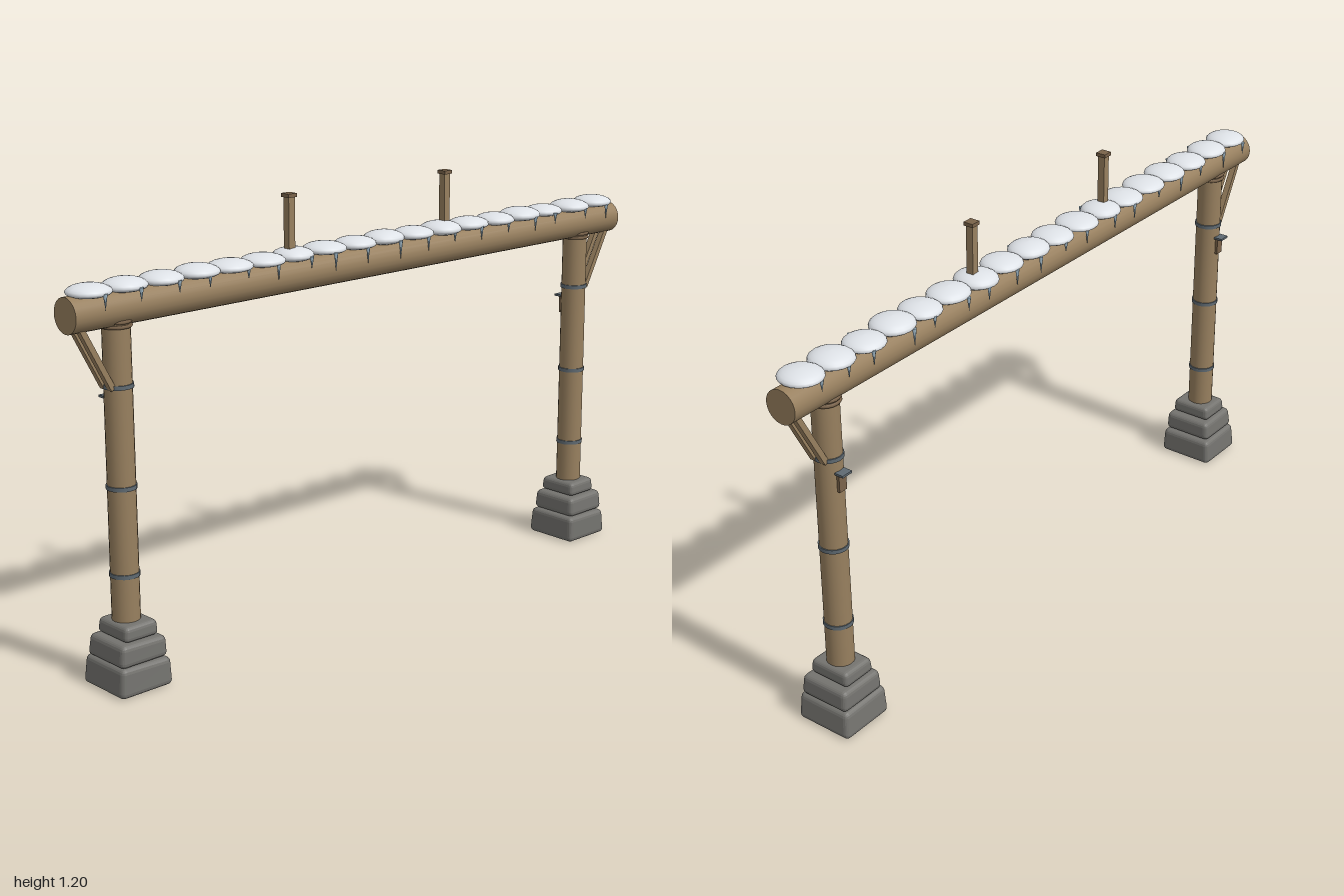
import * as THREE from 'three';
import { RoundedBoxGeometry } from 'three/addons/geometries/RoundedBoxGeometry.js';

const mat = (name, color, extra = {}) => {
  const m = new THREE.MeshStandardMaterial({ color, ...extra });
  m.name = name;
  return m;
};

export function createModel() {
  const root = new THREE.Group();
  root.name = 'snowyLogGate';
  const wood = mat('wood', 0x98805f);
  const darkWood = mat('darkWood', 0x7a634a);
  const stone = mat('stone', 0x74736f);
  const snow = mat('snow', 0xdfe3e8);
  const ice = mat('ice', 0xa9c3d4);
  const iron = mat('iron', 0x5f6a72);

  let seed = 7;
  const rnd = () => (seed = (seed * 16807) % 2147483647) / 2147483647;
  const vary = (a) => (rnd() * 2 - 1) * a;

  const add = (parent, name, geo, m, x = 0, y = 0, z = 0) => {
    const mesh = new THREE.Mesh(geo, m);
    mesh.name = name;
    mesh.position.set(x, y, z);
    parent.add(mesh);
    return mesh;
  };

  // Round crossbeam with end faces
  const beam = add(root, 'crossbeam', new THREE.CylinderGeometry(0.046, 0.046, 2, 24), wood, 0, 0.985, 0);
  beam.rotation.z = Math.PI / 2;

  // Rough stone: a rounded block, narrower on top and slightly skewed
  const stoneGeo = (w, h, d) => {
    const g = new RoundedBoxGeometry(w, h, d, 2, Math.min(0.014, h * 0.3));
    const p = g.attributes.position;
    const sx = vary(0.05), sz = vary(0.05), tilt = vary(0.03);
    for (let i = 0; i < p.count; i++) {
      const x = p.getX(i), y = p.getY(i), z = p.getZ(i);
      const k = 0.97 - 0.06 * (y / h);
      p.setXYZ(i, x * k + sx * y, y + tilt * x * (y > 0 ? 1 : 0), z * k + sz * y);
    }
    g.computeVertexNormals();
    return g;
  };

  // Posts with footings, bands, braces and plaques; side is +1 for the left
  for (const side of [1, -1]) {
    const post = new THREE.Group();
    post.name = side > 0 ? 'leftPost' : 'rightPost';
    post.position.x = 0.853 * side;
    root.add(post);

    add(post, 'log', new THREE.CylinderGeometry(0.036, 0.037, 0.81, 20), wood, 0, 0.56, 0);

    // Stacked footing stones: width, bottom, height, depth
    for (const [w, y, h, d] of [[0.163, 0, 0.077, 0.172], [0.146, 0.078, 0.058, 0.154], [0.105, 0.138, 0.041, 0.126]])
      add(post, 'footingStone', stoneGeo(w, h, d), stone, vary(0.003), y + h / 2, vary(0.003));

    // Iron bands
    for (const y of [0.3, 0.53, 0.79])
      add(post, 'ironBand', new THREE.CylinderGeometry(0.0395, 0.0395, 0.011, 20), iron, 0, y, 0);

    // Lashing where the log meets the beam
    for (const y of [0.941, 0.953]) {
      const ring = add(post, 'lashing', new THREE.TorusGeometry(0.037, 0.005, 6, 20), darkWood, 0, y, 0);
      ring.rotation.x = Math.PI / 2;
    }

    // Twin diagonal braces on the outer side
    const foot = new THREE.Vector2(0.03, 0.787), head = new THREE.Vector2(0.118, 0.952);
    const dir = head.clone().sub(foot);
    for (const z of [-0.0155, 0.0155]) {
      const brace = add(post, 'brace', new THREE.BoxGeometry(0.015, dir.length(), 0.018), wood,
        side * (foot.x + head.x) / 2, (foot.y + head.y) / 2, z);
      brace.rotation.z = -side * Math.atan2(dir.x, dir.y);
    }

    // Small roofed plaque on the back
    add(post, 'plaque', new THREE.BoxGeometry(0.026, 0.05, 0.008), darkWood, 0, 0.726, -0.04);
    add(post, 'plaqueRoof', new THREE.BoxGeometry(0.034, 0.006, 0.026), iron, 0, 0.753, -0.047);
  }

  // Short capped pegs standing on the beam
  for (const x of [-0.29, 0.287]) {
    add(root, 'peg', new THREE.BoxGeometry(0.021, 0.18, 0.021), wood, x, 1.105, 0);
    add(root, 'pegCap', new THREE.BoxGeometry(0.029, 0.01, 0.029), darkWood, x, 1.195, 0);
  }

  // Snow mounds, domed above and shallow below, with icicles on both edges
  const mound = new THREE.SphereGeometry(1, 20, 12);
  const mp = mound.attributes.position;
  for (let i = 0; i < mp.count; i++) if (mp.getY(i) < 0) mp.setY(i, mp.getY(i) * 0.7);
  mound.computeVertexNormals();
  for (let i = 0; i < 18; i++) {
    const x = -0.93 + i * 0.1094;
    const m = add(root, 'snowMound', mound, snow, x + vary(0.003), 1.036 + vary(0.002), vary(0.003));
    m.scale.set(0.06 + vary(0.003), 0.022 + vary(0.002), 0.058 + vary(0.003));
    for (const s of [-1, 1]) {
      const len = 0.04 + vary(0.012);
      const c = add(root, 'icicle', new THREE.ConeGeometry(0.006, len, 6), ice,
        x + vary(0.02), 1.036 - len / 2, s * (0.053 + vary(0.003)));
      c.rotation.x = Math.PI;
    }
  }
  return root;
}
